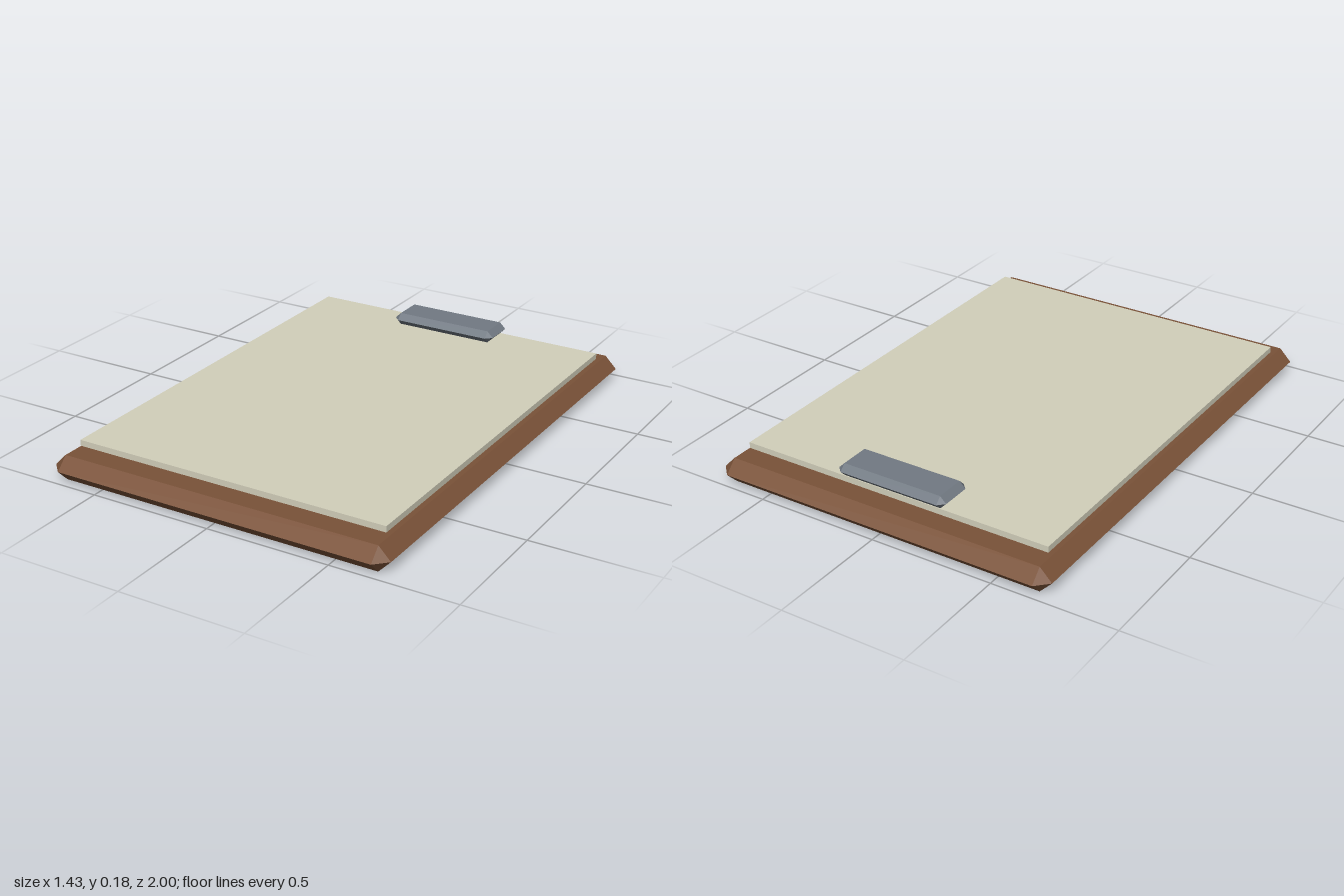
import * as THREE from 'three';
import { ConvexGeometry } from 'three/addons/geometries/ConvexGeometry.js';

// Bevelled slab: flat top and bottom, edges meeting in a ridge at mid height
function bevelledSlab(halfX, halfZ, height, bevel) {
  const points = [];
  const h = height / 2;
  for (const sx of [-1, 1]) {
    for (const sz of [-1, 1]) {
      const ix = sx * (halfX - bevel);
      const iz = sz * (halfZ - bevel);
      points.push(
        new THREE.Vector3(ix, h, iz),
        new THREE.Vector3(ix, -h, iz),
        new THREE.Vector3(sx * halfX, 0, iz),
        new THREE.Vector3(ix, 0, sz * halfZ)
      );
    }
  }
  return new ConvexGeometry(points);
}

function material(name, color) {
  const m = new THREE.MeshStandardMaterial({ color });
  m.name = name;
  return m;
}

export function createModel() {
  const model = new THREE.Group();
  model.name = 'clipboard';

  const wood = material('brown wood', 0x7a5238);
  const paper = material('cream paper', 0xd3d0bb);
  const metal = material('grey metal', 0x727a83);

  function add(name, geometry, mat, x, y, z) {
    const mesh = new THREE.Mesh(geometry, mat);
    mesh.name = name;
    mesh.position.set(x, y, z);
    model.add(mesh);
  }

  // Wooden backing board
  add('board', bevelledSlab(0.715, 1, 0.1, 0.049), wood, 0, 0.05, 0);

  // Stack of paper, just clear of the board
  add('paperStack', new THREE.BoxGeometry(1.308, 0.024, 1.754), paper, 0, 0.122, 0);

  // Metal clip at the back edge
  add('clip', bevelledSlab(0.234, 0.085, 0.05, 0.025), metal, 0, 0.159, -0.813);

  return model;
}
